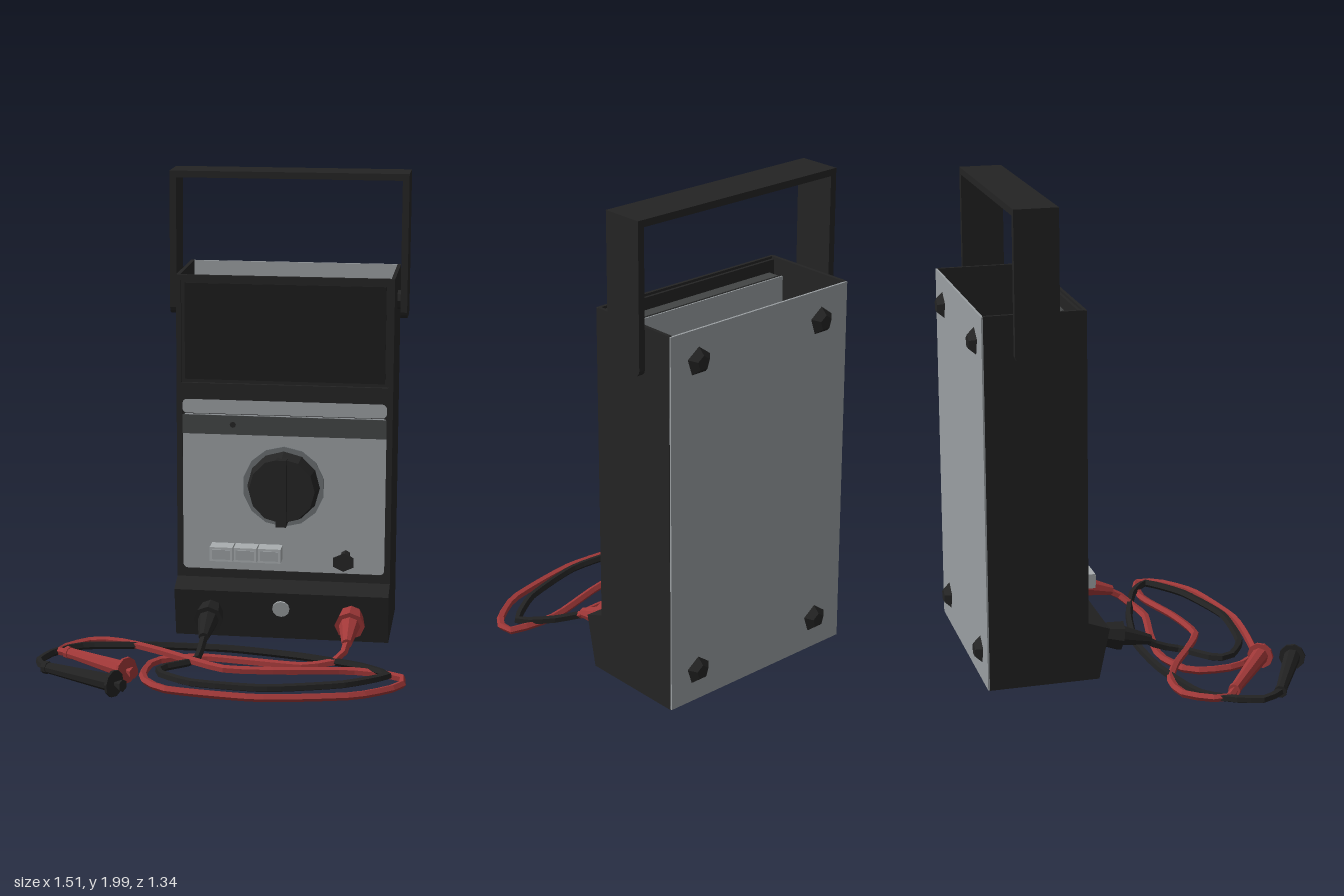
import * as THREE from 'three';

const V = (x, y, z) => new THREE.Vector3(x, y, z);
const mat = (name, color, extra = {}) =>
  Object.assign(new THREE.MeshStandardMaterial({ color, flatShading: true, ...extra }), { name });

const black = mat('casing black', 0x242424);
const glass = mat('display black', 0x1d1d1d);
const grey = mat('panel grey', 0x9a9fa2);
const band = mat('band grey', 0x434545);
const ringGrey = mat('dial ring grey', 0x6a6f72);
const pale = mat('button grey', 0xa9aeb0);
const red = mat('lead red', 0xa03838, { side: THREE.DoubleSide });
const lead = mat('lead black', 0x222222, { side: THREE.DoubleSide });

export function createModel() {
  const model = new THREE.Group();
  model.name = 'multimeter';
  const CX = 0.1875; // centre line of the casing

  const add = (name, geo, material, parent = model) => {
    const m = new THREE.Mesh(geo, material);
    m.name = name;
    parent.add(m);
    return m;
  };
  // box from its minimum and maximum corners
  const box = (name, material, x0, x1, y0, y1, z0, z1) => {
    const m = add(name, new THREE.BoxGeometry(x1 - x0, y1 - y0, z1 - z0), material);
    m.position.set((x0 + x1) / 2, (y0 + y1) / 2, (z0 + z1) / 2);
    return m;
  };
  // tapered round bar from a to b
  const rod = (name, material, a, b, ra, rb, sides = 8) => {
    const m = add(name, new THREE.CylinderGeometry(rb, ra, a.distanceTo(b), sides), material);
    m.position.copy(a).lerp(b, 0.5);
    m.quaternion.setFromUnitVectors(V(0, 1, 0), b.clone().sub(a).normalize());
    return m;
  };
  const roundedRect = (x0, x1, y0, y1, r) => {
    const s = new THREE.Shape();
    s.absarc(x1 - r, y1 - r, r, 0, Math.PI / 2);
    s.absarc(x0 + r, y1 - r, r, Math.PI / 2, Math.PI);
    s.absarc(x0 + r, y0 + r, r, Math.PI, Math.PI * 1.5);
    s.absarc(x1 - r, y0 + r, r, Math.PI * 1.5, Math.PI * 2);
    s.closePath();
    return s;
  };
  const plate = (name, material, shape, z, depth) => {
    const m = add(name, new THREE.ExtrudeGeometry(shape, { depth, bevelEnabled: false, curveSegments: 4 }), material);
    m.position.z = z;
    return m;
  };

  // Open-topped casing
  box('rightWall', black, -0.27, -0.255, 0.02, 1.58, -0.64, -0.235);
  box('leftWall', black, 0.63, 0.645, 0.02, 1.58, -0.64, -0.235);
  box('floor', black, -0.255, 0.63, 0.02, 0.04, -0.64, -0.235);
  box('frontWall', black, -0.255, 0.63, 0.04, 1.57, -0.25, -0.238);
  box('backPanel', grey, -0.268, 0.643, 0.022, 1.578, -0.647, -0.638);
  box('displayTray', band, -0.23, 0.605, 1.1, 1.52, -0.3, -0.25);
  box('innerPlate', grey, -0.25, 0.625, 0.1, 1.515, -0.307, -0.301);

  // Front frame with openings for the display and the control panel
  const frame = roundedRect(-0.27, 0.645, 0.24, 1.58, 0.004);
  frame.holes.push(roundedRect(-0.25, 0.625, 1.12, 1.56, 0.004));
  frame.holes.push(roundedRect(-0.245, 0.62, 0.305, 1.05, 0.02));
  plate('frontFrame', black, frame, -0.238, 0.013);
  box('displayWindow', glass, -0.235, 0.61, 1.135, 1.545, -0.239, -0.232);
  plate('controlPanel', grey, roundedRect(-0.245, 0.62, 0.305, 0.985, 0.015), -0.238, 0.008);
  plate('upperStrip', grey, roundedRect(-0.245, 0.62, 0.99, 1.05, 0.018), -0.238, 0.012);
  box('darkBand', band, -0.245, 0.62, 0.9, 0.982, -0.231, -0.227);
  rod('indicator', black, V(-0.03, 0.943, -0.23), V(-0.03, 0.943, -0.224), 0.013, 0.013);

  // Leaning socket block along the foot of the front
  const foot = new THREE.Shape([[0.238, 0.02], [0.18, 0.02], [0.135, 0.235], [0.225, 0.268], [0.238, 0.268]]
    .map(([z, y]) => new THREE.Vector2(z, y)));
  const block = add('socketBlock', new THREE.ExtrudeGeometry(foot, { depth: 0.915, bevelEnabled: false }), black);
  block.rotation.y = Math.PI / 2;
  block.position.x = -0.27;
  rod('centreSocket', pale, V(CX, 0.165, -0.16), V(CX, 0.161, -0.143), 0.037, 0.037, 12);

  // Range dial with its grip
  rod('dialRing', ringGrey, V(CX, 0.68, -0.23), V(CX, 0.68, -0.222), 0.175, 0.175, 14);
  rod('dialKnob', black, V(CX, 0.68, -0.222), V(CX, 0.68, -0.15), 0.155, 0.14, 12);
  box('dialGrip', black, 0.165, 0.21, 0.53, 0.82, -0.215, -0.12);

  // Three push buttons, each with a pale rim
  for (let i = 0; i < 3; i++) {
    const x = -0.12 + i * 0.103;
    box('buttonRim', pale, x, x + 0.098, 0.36, 0.422, -0.232, -0.155);
    box('buttonFace', grey, x + 0.01, x + 0.088, 0.37, 0.412, -0.156, -0.15);
  }

  // Small flared adjuster
  rod('adjusterStem', black, V(0.455, 0.39, -0.23), V(0.455, 0.39, -0.17), 0.02, 0.02, 6);
  rod('adjusterKnob', black, V(0.455, 0.39, -0.2), V(0.455, 0.39, -0.11), 0.018, 0.05, 6).scale.z = 0.8;

  // Carrying handle: top bar and two round-ended arms
  box('handleBar', black, -0.315, 0.69, 1.972, 2, -0.525, -0.345);
  const armShape = new THREE.Shape();
  armShape.moveTo(0.345, 1.975);
  armShape.lineTo(0.345, 1.42);
  armShape.quadraticCurveTo(0.35, 1.39, 0.395, 1.39);
  armShape.lineTo(0.475, 1.39);
  armShape.quadraticCurveTo(0.52, 1.39, 0.525, 1.42);
  armShape.lineTo(0.525, 1.975);
  for (const x of [-0.315, 0.662]) {
    const arm = add('handleArm', new THREE.ExtrudeGeometry(armShape, { depth: 0.028, bevelEnabled: false, curveSegments: 4 }), black);
    arm.rotation.y = Math.PI / 2;
    arm.position.x = x;
  }
  for (const [a, b] of [[-0.3, -0.268], [0.643, 0.675]])
    rod('handlePivot', black, V(a, 1.46, -0.435), V(b, 1.46, -0.435), 0.04, 0.04);

  // Back screws
  for (const x of [-0.13, 0.505])
    for (const y of [0.15, 1.45])
      rod('backScrew', black, V(x, y, -0.645), V(x, y, -0.675), 0.06, 0.03, 5);

  // Test leads: plug, looped cable and probe; path points are x, y, z
  const testLead = (side, material, x, path, probe) => {
    rod(side + 'PlugContact', pale, V(x, 0.158, -0.17), V(x, 0.148, -0.12), 0.035, 0.035);
    rod(side + 'PlugCollar', material, V(x, 0.15, -0.13), V(x, 0.133, -0.045), 0.05, 0.064);
    rod(side + 'PlugBoot', material, V(x, 0.133, -0.045), V(x, 0.1, 0.085), 0.045, 0.022);
    const curve = new THREE.CatmullRomCurve3(path.map(p => V(...p)), false, 'catmullrom', 0.3);
    add(side + 'Cable', new THREE.TubeGeometry(curve, 60, 0.017, 5), material);

    const [a, b] = probe.map(p => V(...p));
    const dir = b.clone().sub(a).normalize();
    const at = d => b.clone().addScaledVector(dir, d);
    rod(side + 'ProbeCuff', material, a.clone().addScaledVector(dir, -0.01), a.clone().addScaledVector(dir, 0.012), 0.026, 0.026);
    rod(side + 'ProbeHandle', material, a, b, 0.022, 0.036);
    rod(side + 'ProbeGuard', material, at(-0.012), at(0), 0.055, 0.055, 10);
    rod(side + 'ProbeTip', material, at(0), at(0.04), 0.008, 0.026, 6);
  };

  testLead('red', red, 0.49, [
    [0.49, 0.105, 0.06], [0.485, 0.08, 0.11], [0.45, 0.045, 0.155], [0.32, 0.03, 0.19], [0.1, 0.025, 0.15],
    [-0.12, 0.025, 0.125], [-0.29, 0.025, 0.19], [-0.32, 0.025, 0.28], [-0.31, 0.025, 0.41],
    [-0.2, 0.025, 0.52], [0.18, 0.025, 0.565], [0.55, 0.025, 0.49], [0.71, 0.025, 0.375],
    [0.745, 0.025, 0.29], [0.7, 0.03, 0.255], [0.52, 0.035, 0.235], [0.25, 0.045, 0.3], [0.02, 0.05, 0.325],
    [-0.12, 0.05, 0.25], [-0.27, 0.05, 0.15], [-0.42, 0.055, 0.08], [-0.52, 0.06, 0.065],
    [-0.61, 0.06, 0.09], [-0.7, 0.065, 0.225], [-0.64, 0.075, 0.285]],
  [[-0.645, 0.075, 0.28], [-0.36, 0.085, 0.49]]);

  testLead('black', lead, -0.11, [
    [-0.11, 0.105, 0.06], [-0.115, 0.07, 0.12], [-0.125, 0.045, 0.22], [-0.24, 0.045, 0.32], [-0.25, 0.045, 0.39],
    [-0.1, 0.045, 0.485], [0.2, 0.045, 0.51], [0.5, 0.045, 0.425], [0.66, 0.045, 0.315],
    [0.67, 0.045, 0.28], [0.55, 0.045, 0.195], [0.3, 0.045, 0.11], [0, 0.045, 0.055], [-0.3, 0.05, 0.07],
    [-0.6, 0.06, 0.14], [-0.71, 0.065, 0.25], [-0.75, 0.065, 0.375], [-0.7, 0.07, 0.455]],
  [[-0.7, 0.07, 0.455], [-0.385, 0.075, 0.62]]);

  return model;
}
